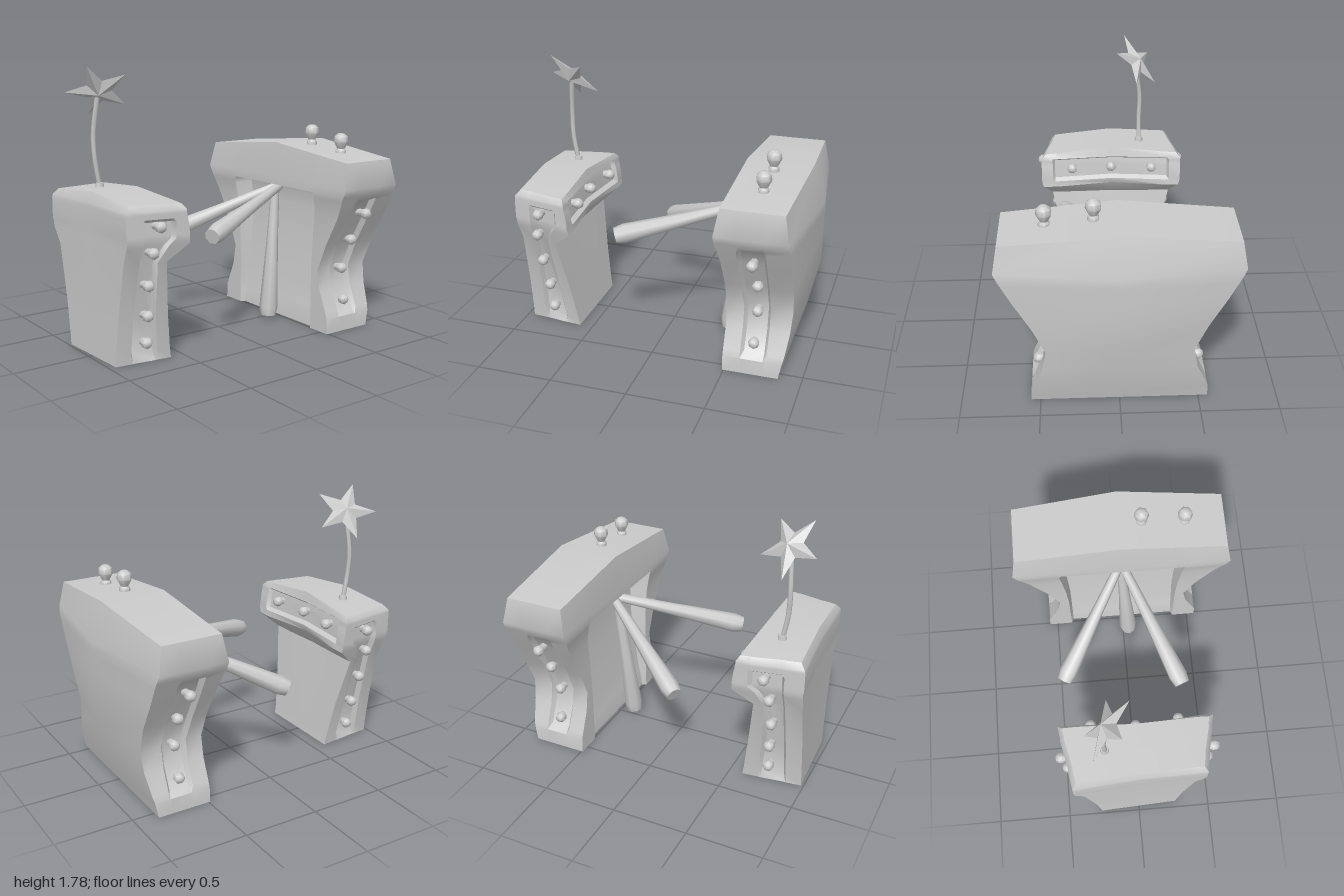
import * as THREE from 'three';
import { toCreasedNormals } from 'three/addons/utils/BufferGeometryUtils.js';

const grey = new THREE.MeshStandardMaterial({ color: 0xcccccc, side: THREE.DoubleSide });
const V = (x, y, z) => new THREE.Vector3(x, y, z);

function add(parent, geometry, name) {
  const mesh = new THREE.Mesh(geometry, grey);
  mesh.name = name;
  parent.add(mesh);
  return mesh;
}

// Open-bottomed shell lofted from rings that follow the end, outer and inner sides.
// row: y, end z, outer x at end / middle, inner x at end / middle,
//      end panel x near inner / outer side, end panel depth, inner panel depth, inner panel half width
function shell(rows, { ridge, skew = 0, shear = 0 }) {
  const side = Math.sign(rows[0][2] - rows[0][4]);
  const rings = rows.map(([y, z, xo, xoM, xi, xiM, r1, r2, dEnd, dIn, zIn], level) => {
    const zAt = x => z * (1 - skew * (x - xi) / (xo - xi));
    const s = side * 0.02;
    const half = [
      [xoM, 0], [xo, zAt(xo)], [r2, zAt(r2)], [r2 - s, zAt(r2) - dEnd], [r1 + s, zAt(r1) - dEnd], [r1, zAt(r1)],
      [xi, z], [xi, zIn], [xi + side * dIn, zIn - 0.015], [xiM + side * dIn, 0],
    ];
    const back = half.slice(1, -1).reverse().map(([x, q]) => [x, -q]);
    const lift = level === rows.length - 1 ? ridge : 0;
    return [...half, ...back].map(([x, q]) => {
      const t = (x - xi) / (xo - xi);
      return V(x + shear * q * t, y + lift * (1 - Math.abs(q) / z), q);
    });
  });
  const n = rings[0].length;
  const pos = [];
  const tri = (a, b, c) => (side > 0 ? [a, b, c] : [a, c, b]).forEach(p => pos.push(p.x, p.y, p.z));
  for (let j = 0; j < rings.length - 1; j++) {
    for (let i = 0; i < n; i++) {
      const k = (i + 1) % n;
      const a = rings[j][i], b = rings[j][k], c = rings[j + 1][k], d = rings[j + 1][i];
      tri(a, d, b);
      tri(d, c, b);
    }
  }
  // roof fans out from the middle of the ridge
  const top = rings[rings.length - 1];
  const centre = top[0].clone().add(top[9]).multiplyScalar(0.5);
  for (let i = 0; i < n; i++) tri(centre, top[(i + 1) % n], top[i]);
  const g = new THREE.BufferGeometry();
  g.setAttribute('position', new THREE.Float32BufferAttribute(pos, 3));
  return toCreasedNormals(g, 0.75);
}

// Turned profile aimed from one point along a direction
function turned(parent, points, sides, from, dir, name) {
  const g = new THREE.LatheGeometry(points.map(p => new THREE.Vector2(p[0], p[1])), sides);
  const mesh = add(parent, toCreasedNormals(g.toNonIndexed(), 0.9), name);
  mesh.position.copy(from);
  mesh.quaternion.setFromUnitVectors(V(0, 1, 0), dir.clone().normalize());
  return mesh;
}

const bulbProfile = [[0.026, -0.07], [0.026, -0.03], [0.035, -0.012], [0.035, 0.012], [0.022, 0.03], [0, 0.036]];
const bulb = (parent, x, y, z, dir) => turned(parent, bulbProfile, 7, V(x, y, z), dir, 'bulb');

function largeCabinet() {
  const group = new THREE.Group();
  group.name = 'largeCabinet';
  add(group, shell([
    [0, 0.56, 0.85, 0.85, 0.49, 0.49, 0.6, 0.77, 0, 0.03, 0.39],
    [0.1, 0.555, 0.87, 0.88, 0.49, 0.49, 0.6, 0.77, 0, 0.04, 0.39],
    [0.14, 0.54, 0.88, 0.89, 0.49, 0.49, 0.6, 0.77, 0.03, 0.05, 0.39],
    [0.28, 0.48, 0.9, 0.93, 0.49, 0.49, 0.6, 0.77, 0.035, 0.07, 0.39],
    [0.42, 0.455, 0.91, 0.96, 0.49, 0.49, 0.6, 0.77, 0.035, 0.09, 0.39],
    [0.6, 0.53, 0.92, 1, 0.49, 0.49, 0.59, 0.77, 0.035, 0.11, 0.4],
    [0.8, 0.64, 0.92, 1, 0.485, 0.485, 0.59, 0.77, 0.035, 0.13, 0.42],
    [0.9, 0.69, 0.92, 1, 0.47, 0.47, 0.59, 0.77, 0.035, 0.14, 0.43],
    [0.92, 0.7, 0.92, 1, 0.465, 0.465, 0.59, 0.77, 0, 0.14, 0.43],
    [0.95, 0.715, 0.92, 1, 0.46, 0.46, 0.59, 0.77, 0, 0, 0.43],
    [1, 0.74, 0.91, 1, 0.46, 0.46, 0.59, 0.77, 0, 0, 0.43],
    [1.17, 0.71, 0.88, 0.92, 0.49, 0.49, 0.59, 0.77, 0, 0, 0.43],
  ], { ridge: 0.07 }), 'largeBody');
  for (const s of [1, -1]) {
    for (const [x, y, z] of [[0.68, 0.2, 0.51], [0.69, 0.41, 0.475], [0.7, 0.62, 0.55], [0.69, 0.82, 0.69]]) {
      bulb(group, x, y, z * s, V(0, 0, s));
    }
  }
  // roof knobs
  const knob = [[0.036, -0.02], [0.036, 0.025], [0.026, 0.04], [0.05, 0.085], [0.045, 0.12], [0.022, 0.14], [0, 0.142]];
  for (const [y, z] of [[1.185, 0.44], [1.22, 0.15]]) turned(group, knob, 7, V(0.69, y, z), V(0, 1, 0), 'roofKnob');
  return group;
}

function smallCabinet() {
  const group = new THREE.Group();
  group.name = 'smallCabinet';
  add(group, shell([
    [0, 0.31, -0.97, -0.97, -0.59, -0.59, -0.69, -0.87, 0, 0, 0.2],
    [0.06, 0.315, -0.97, -0.97, -0.6, -0.6, -0.69, -0.87, 0.03, 0, 0.2],
    [0.3, 0.35, -0.97, -0.97, -0.635, -0.635, -0.72, -0.87, 0.03, 0, 0.22],
    [0.65, 0.43, -0.97, -0.97, -0.69, -0.7, -0.75, -0.87, 0.03, 0, 0.28],
    [0.76, 0.49, -0.98, -0.97, -0.565, -0.62, -0.7, -0.87, 0.03, 0, 0.4],
    [0.8, 0.5, -0.98, -0.97, -0.57, -0.61, -0.66, -0.87, 0.03, 0, 0.42],
    [0.82, 0.5, -0.985, -0.97, -0.57, -0.61, -0.66, -0.87, 0.03, 0.03, 0.42],
    [0.9, 0.5, -0.985, -0.97, -0.58, -0.615, -0.66, -0.87, 0.03, 0.03, 0.42],
    [0.92, 0.5, -0.985, -0.97, -0.585, -0.615, -0.66, -0.87, 0, 0.03, 0.42],
    [0.95, 0.5, -0.985, -0.97, -0.59, -0.62, -0.66, -0.87, 0, 0.03, 0.42],
    [0.97, 0.5, -0.98, -0.97, -0.59, -0.62, -0.66, -0.87, 0, 0, 0.42],
    [1, 0.47, -0.95, -0.95, -0.61, -0.63, -0.66, -0.87, 0, 0, 0.4],
  ], { ridge: 0.04, skew: 0.14, shear: 0.05 }), 'smallBody');
  const ends = [[-0.77, 0.13, 0.32], [-0.78, 0.31, 0.355], [-0.8, 0.51, 0.4], [-0.8, 0.72, 0.46], [-0.77, 0.88, 0.495]];
  for (const s of [1, -1]) for (const [x, y, z] of ends) bulb(group, x, y, z * s, V(0, 0, s));
  for (const z of [-0.29, 0, 0.28]) bulb(group, z ? -0.58 : -0.605, 0.9, z, V(1, 0, 0));
  return group;
}

// Faceted five-pointed star on a bent rod
function starRod() {
  const group = new THREE.Group();
  group.name = 'starRod';
  const path = new THREE.CatmullRomCurve3([
    V(-0.78, 1.02, -0.21), V(-0.81, 1.2, -0.21), V(-0.815, 1.35, -0.215), V(-0.795, 1.62, -0.18)]);
  add(group, new THREE.TubeGeometry(path, 10, 0.016, 6), 'rod');
  const foot = add(group, new THREE.CylinderGeometry(0.025, 0.03, 0.03, 8), 'rodFoot');
  foot.position.set(-0.78, 1.035, -0.21);

  const ring = [];
  for (let i = 0; i < 10; i++) {
    const r = i % 2 ? 0.085 : 0.21, a = i * Math.PI / 5;
    ring.push([Math.sin(a) * r, Math.cos(a) * r, 0]);
  }
  const pos = [];
  ring.forEach((p, i) => {
    const q = ring[(i + 1) % 10];
    pos.push(...q, ...p, 0, 0, 0.045, ...p, ...q, 0, 0, -0.045);
  });
  const g = new THREE.BufferGeometry();
  g.setAttribute('position', new THREE.Float32BufferAttribute(pos, 3));
  g.computeVertexNormals();
  const star = add(group, g, 'star');
  const up = V(0, -0.76, -0.65).normalize();
  const right = up.clone().cross(V(0.32, 0.62, -0.71)).normalize();
  const normal = right.clone().cross(up);
  star.quaternion.setFromRotationMatrix(new THREE.Matrix4().makeBasis(right, up, normal));
  star.position.set(-0.79, 1.63, -0.185);
  return group;
}

export function createModel() {
  const model = new THREE.Group();
  model.name = 'cabinetPair';
  model.add(largeCabinet(), smallCabinet(), starRod());
  // three flared arms spreading from under the large cabinet's inner ledge
  for (const [from, to] of [
    [V(0.52, 0.93, 0.01), V(-0.3, 0.735, 0.345)],
    [V(0.52, 0.93, -0.01), V(-0.16, 0.585, -0.455)],
    [V(0.49, 0.9, 0), V(0.405, 0.02, 0.04)],
  ]) {
    const dir = to.clone().sub(from), l = dir.length();
    turned(model, [[0, 0], [0.03, 0], [0.04, l * 0.4], [0.064, l * 0.93], [0.052, l], [0, l]], 8, from, dir, 'arm');
  }
  return model;
}
